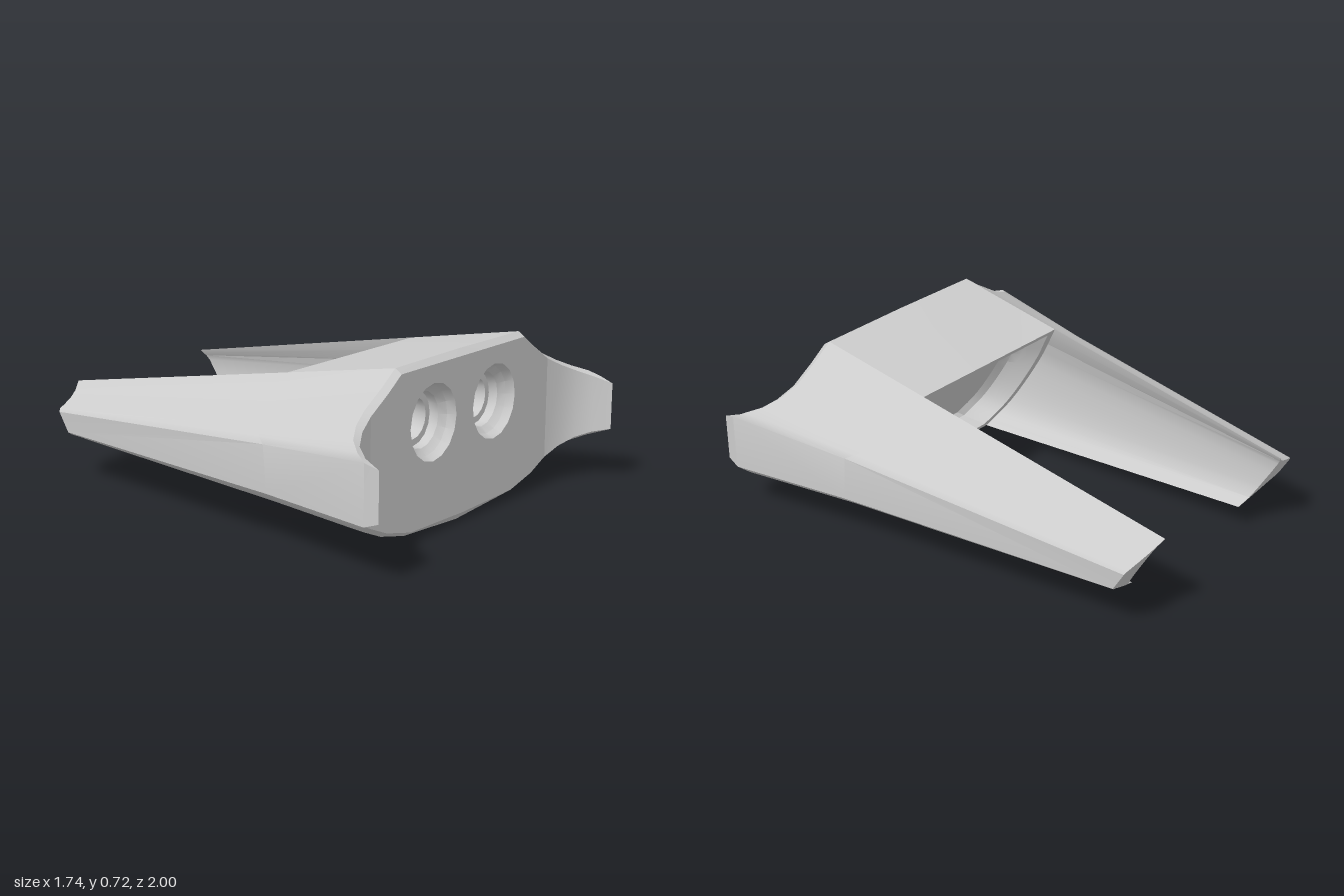
import * as THREE from 'three';
import { toCreasedNormals } from 'three/addons/utils/BufferGeometryUtils.js';

const material = new THREE.MeshStandardMaterial({ color: 0xcccccc });

// Outer section: front x, y, z, then rear x, y; over the top, round the side, under the bottom
const OUTER = [
  [0.445, 0.715, 0.8, 0.41, 0.4], [0.53, 0.655, 0.8, 0.45, 0.367], [0.64, 0.588, 0.8, 0.49, 0.345],
  [0.72, 0.548, 0.82, 0.52, 0.333], [0.79, 0.515, 0.86, 0.55, 0.322], [0.845, 0.49, 0.92, 0.578, 0.313],
  [0.87, 0.465, 1.0, 0.59, 0.3],
  [0.87, 0.22, 1.0, 0.59, 0.215], [0.845, 0.2, 0.92, 0.578, 0.205], [0.79, 0.175, 0.86, 0.55, 0.192],
  [0.72, 0.143, 0.82, 0.52, 0.177], [0.64, 0.107, 0.8, 0.49, 0.162], [0.53, 0.06, 0.8, 0.45, 0.142],
  [0.37, 0.022, 0.8, 0.38, 0.115],
];
const SIDE = 6; // index of the outermost top point

const tipZ = (y) => -1 + (0.4 - y) * 0.6;        // slanted arm ends
const backZ = (y) => 0.23 + (0.618 - y) * 0.62;  // slanted back of the bridge
const lerp = (a, b, t) => a.map((v, i) => v + (b[i] - v) * t);
const flipX = ([x, y, z]) => [-x, y, z];

// Skin through rows of points
function grid(rows) {
  const n = rows[0].length, index = [];
  for (let i = 0; i < rows.length - 1; i++) {
    for (let j = 0; j < n - 1; j++) {
      const a = i * n + j, d = a + n;
      index.push(a, a + 1, d + 1, a, d + 1, d);
    }
  }
  const geo = new THREE.BufferGeometry();
  geo.setAttribute('position', new THREE.Float32BufferAttribute(rows.flat(2), 3));
  geo.setIndex(index);
  return geo;
}

function flipFaces(geo) {
  const a = geo.index.array;
  for (let i = 0; i < a.length; i += 3) [a[i], a[i + 1]] = [a[i + 1], a[i]];
  return geo;
}

// Flat outline laid on a surface z = zAt(y)
function sheet(points, zAt, facesBack, holes = []) {
  const v2 = (list) => list.map(([x, y]) => new THREE.Vector2(x, y));
  const shape = new THREE.Shape(v2(points));
  shape.holes = holes.map((h) => new THREE.Path(v2(h)));
  const geo = new THREE.ShapeGeometry(shape);
  const p = geo.attributes.position;
  for (let i = 0; i < p.count; i++) p.setZ(i, zAt(p.getY(i)));
  return facesBack ? flipFaces(geo) : geo;
}

export function createModel() {
  const group = new THREE.Group();
  const add = (name, geo) => {
    geo.deleteAttribute('uv');
    geo.deleteAttribute('normal');
    const mesh = new THREE.Mesh(toCreasedNormals(geo, 0.5), material);
    mesh.name = name;
    group.add(mesh);
  };
  const addPair = (name, geo) => {
    const other = flipFaces(geo.clone().scale(-1, 1, 1));
    add('left' + name, geo);
    add('right' + name, other);
  };

  // Rings of the outer skin
  const rear = OUTER.map((p) => [p[3], p[4], tipZ(p[4])]);
  const edge = OUTER.map(([x, y, z]) => [x, y, z - (z > 0.95 ? 0.06 : 0.03)]);
  const face = OUTER.map(([x, y, z], i) => [x > 0.84 ? x - 0.01 : x, y + (i <= SIDE ? -0.02 : 0.02), z]);
  const middle = rear.map((r, i) => {
    const p = lerp(r, edge[i], 0.7);
    p[0] -= 0.02 * Math.max(0, (OUTER[i][0] - 0.45) / 0.42);
    return p;
  });
  addPair('OuterArm', grid([face, edge, middle, rear]));

  // Concave inside of the arms, from the tip to the back of the bridge
  const curve = (pts) => new THREE.CatmullRomCurve3(pts.map((p) => new THREE.Vector3(...p)))
    .getPoints(12).map((v) => v.toArray());
  const last = OUTER.length - 1;
  const innerRear = curve([rear[0], [0.445, 0.3, 0], [0.44, 0.19, 0], rear[last]])
    .map(([x, y]) => [x, y, tipZ(y)]);
  const innerFront = curve([edge[0], [0.5, 0.42, 0.77], [0.47, 0.15, 0.77], edge[last]])
    .map(([x, y]) => [x, y, 0.77]);
  const innerBack = innerRear.map((r, i) => {
    const f = innerFront[i], g0 = r[2] - backZ(r[1]), g1 = f[2] - backZ(f[1]);
    return lerp(r, f, g0 / (g0 - g1));
  });
  addPair('InnerArm', grid([innerRear, innerBack]));
  addPair('ArmTip', sheet([...rear, ...innerRear.slice(1, -1).reverse()], tipZ, true));

  // Top and underside of the bridge
  const span = (p, dy) => [flipX(p), [0, p[1] + dy, p[2]], p];
  const topBack = innerBack[0], lowBack = innerBack[innerBack.length - 1];
  add('bridgeTop', grid([span(face[0], 0), span(edge[0], 0.004), span(topBack, 0)]));
  add('bridgeUnderside', grid([span(face[last], -0.008), span(edge[last], -0.022), span(lowBack, -0.005)]
    .map((row) => row.reverse())));

  // Front plate with two round openings, and its forward-curling ends
  const circle = (cx) => Array.from({ length: 16 }, (_, i) => {
    const a = (i / 16) * Math.PI * 2;
    return [cx + 0.16 * Math.cos(a), 0.46 + 0.16 * Math.sin(a)];
  });
  const lowMid = [0, face[last][1] - 0.008, 0.8];
  const half = [...face.slice(0, 3), ...face.slice(-3)];
  add('frontPlate', sheet([...half, lowMid, ...half.map(flipX).reverse()],
    () => 0.8, false, [circle(0.22), circle(-0.22)]));
  addPair('FrontFlare', grid([face.slice(SIDE + 1, -2).reverse(), face.slice(2, SIDE + 1)]));

  // Stepped sockets
  const profile = [[0.16, 0], [0.145, -0.035], [0.118, -0.06], [0.115, -0.1], [0.087, -0.1], [0.085, -0.18], [0, -0.18]]
    .map(([r, y]) => new THREE.Vector2(r, y));
  const socket = new THREE.LatheGeometry(profile, 16).rotateX(Math.PI / 2).translate(0.22, 0.46, 0.8);
  addPair('Socket', socket);

  // Recess in the slanted back of the bridge
  const loop = [...innerBack, ...innerBack.map(flipX).reverse()];
  const ring = (s, depth) => loop.map(([x, y]) => {
    const yy = 0.33 + (y - 0.33) * s;
    return [x * s, yy, backZ(yy) + depth];
  });
  const close = (r) => [...r, r[0]];
  add('recessRim', sheet(loop, backZ, true, [ring(0.92, 0)]));
  add('recessWall', grid([[0.92, 0], [0.88, 0.08], [0.85, 0.12], [0.78, 0.15]].map(([s, d]) => close(ring(s, d)))));
  add('recessFloor', sheet(ring(0.78, 0), (y) => backZ(y) + 0.15, true));

  return group;
}
